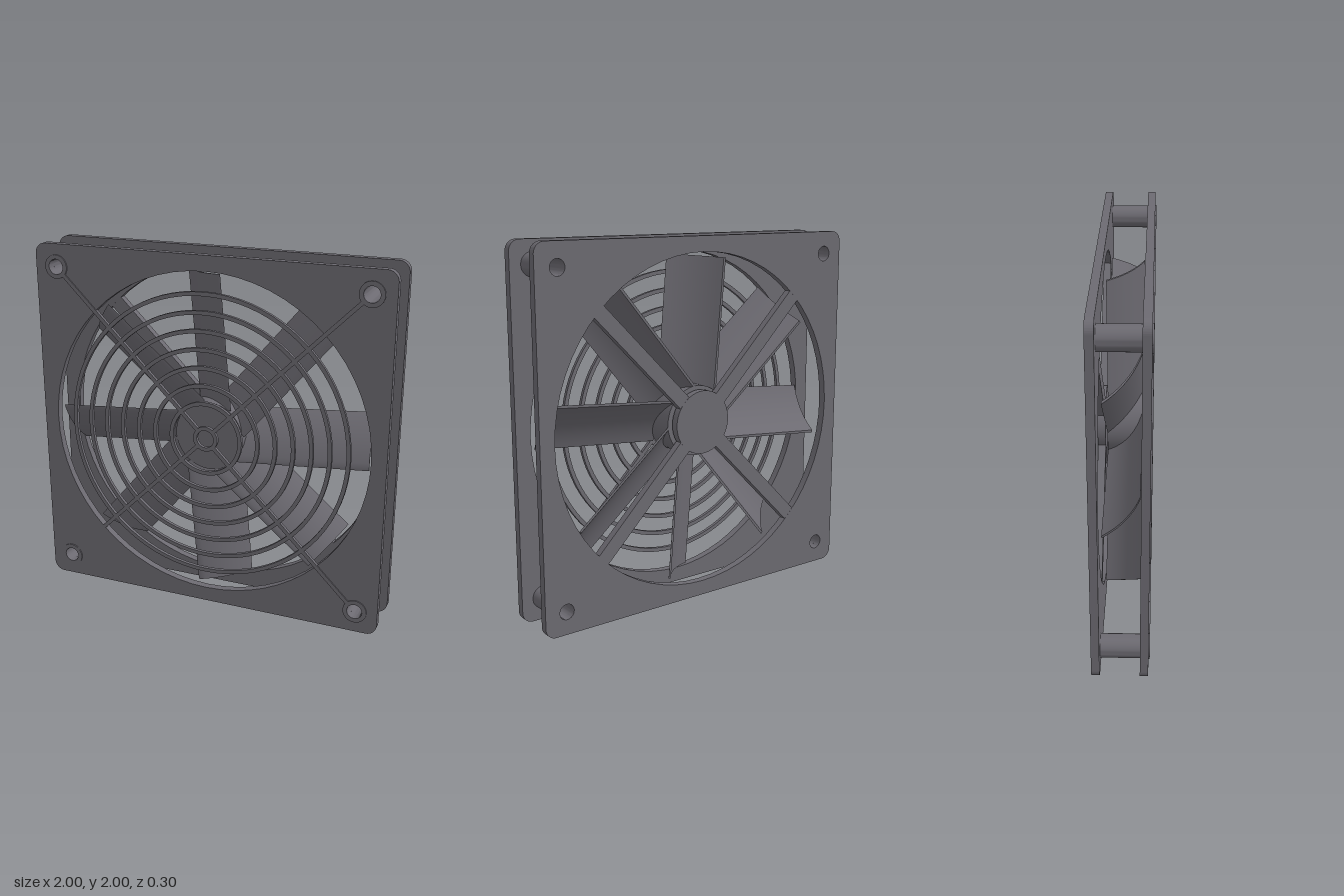
import * as THREE from 'three';
import { toCreasedNormals } from 'three/addons/utils/BufferGeometryUtils.js';

export function createModel() {
  const fan = new THREE.Group();
  fan.name = 'coolingFan';
  fan.position.y = 1;
  const model = new THREE.Group();
  model.add(fan);
  const darkGrey = new THREE.MeshStandardMaterial({ color: 0x6c6a71 });

  function add(name, geometry, parent = fan) {
    const mesh = new THREE.Mesh(geometry, darkGrey);
    mesh.name = name;
    parent.add(mesh);
    return mesh;
  }
  function extrude(shape, depth, curveSegments) {
    const g = new THREE.ExtrudeGeometry(shape, { depth, curveSegments, bevelEnabled: false });
    return toCreasedNormals(g, 0.6);
  }
  function circle(path, x, y, r) {
    path.absarc(x, y, r, 0, Math.PI * 2, false);
    return path;
  }
  // Flat ring or tube standing along z
  function tube(outer, inner, depth, segments) {
    const shape = circle(new THREE.Shape(), 0, 0, outer);
    shape.holes.push(circle(new THREE.Path(), 0, 0, inner));
    return extrude(shape, depth, segments);
  }

  const BOLT = 0.875;
  const corners = [[1, 1], [-1, 1], [-1, -1], [1, -1]].map(([x, y]) => [x * BOLT, y * BOLT]);

  // Square plates with rounded corners, a large opening and four bolt holes
  const plate = new THREE.Shape();
  const c = 0.94, r = 0.06;
  plate.absarc(c, c, r, 0, Math.PI / 2);
  plate.absarc(-c, c, r, Math.PI / 2, Math.PI);
  plate.absarc(-c, -c, r, Math.PI, Math.PI * 1.5);
  plate.absarc(c, -c, r, Math.PI * 1.5, Math.PI * 2);
  plate.closePath();
  plate.holes.push(circle(new THREE.Path(), 0, 0, 0.917));
  for (const [x, y] of corners) plate.holes.push(circle(new THREE.Path(), x, y, 0.042));
  const plateGeometry = extrude(plate, 0.043, 32);
  add('frontPlate', plateGeometry).position.z = 0.1;
  add('backPlate', plateGeometry).position.z = -0.15;

  // Hollow posts between the plates
  const postGeometry = tube(0.0625, 0.042, 0.207, 20);
  for (const [x, y] of corners) add('cornerPost', postGeometry).position.set(x, y, -0.107);

  // Motor mount and diagonal struts in the back opening
  const mount = add('motorMount', new THREE.CylinderGeometry(0.175, 0.175, 0.043, 48));
  mount.rotation.x = Math.PI / 2;
  mount.position.z = -0.1285;
  for (let i = 0; i < 4; i++) {
    const arm = new THREE.Group();
    arm.name = 'strut';
    arm.rotation.z = Math.PI / 4 + i * Math.PI / 2;
    fan.add(arm);
    add('strutBar', new THREE.BoxGeometry(0.78, 0.08, 0.042), arm).position.set(0.54, 0, -0.1285);
  }

  // Rotor: hub and eight thin curved blades
  const rotor = new THREE.Group();
  rotor.name = 'rotor';
  fan.add(rotor);
  const hub = add('hub', new THREE.CylinderGeometry(0.195, 0.195, 0.19, 48), rotor);
  hub.rotation.x = Math.PI / 2;

  // Blade section: x runs around the rotor, y runs towards the front
  const section = new THREE.Shape();
  section.moveTo(-0.143, 0.095);
  section.quadraticCurveTo(0.01, 0.04, 0.103, -0.095);
  section.lineTo(0.117, -0.095);
  section.quadraticCurveTo(0.024, 0.04, -0.129, 0.095);
  section.closePath();
  const bladeGeometry = extrude(section, 0.74, 12);
  bladeGeometry.applyMatrix4(new THREE.Matrix4().makeBasis(
    new THREE.Vector3(0, 1, 0), new THREE.Vector3(0, 0, 1), new THREE.Vector3(1, 0, 0)));
  bladeGeometry.translate(0.15, 0, 0);
  for (let i = 0; i < 8; i++) {
    add('blade', bladeGeometry, rotor).rotation.z = 0.088 + i * Math.PI / 4;
  }

  // Flat finger guard: rings, diagonal spokes and bolt eyelets
  const guard = new THREE.Group();
  guard.name = 'fingerGuard';
  guard.position.z = 0.13;
  fan.add(guard);
  const width = 0.022, depth = 0.02;
  for (const radius of [0.06, 0.2, 0.3, 0.4, 0.5, 0.6, 0.7, 0.8]) {
    add('guardRing', tube(radius + width / 2, radius - width / 2, depth, 40), guard);
  }
  const eyeletGeometry = tube(0.066, 0.042, depth, 20);
  const start = 0.06, end = BOLT * Math.SQRT2 - 0.055;
  const spokeGeometry = new THREE.BoxGeometry(end - start, width, depth);
  spokeGeometry.translate((start + end) / 2, 0, depth / 2);
  corners.forEach(([x, y], i) => {
    add('guardSpoke', spokeGeometry, guard).rotation.z = Math.PI / 4 + i * Math.PI / 2;
    add('guardEyelet', eyeletGeometry, guard).position.set(x, y, 0);
  });

  return model;
}
